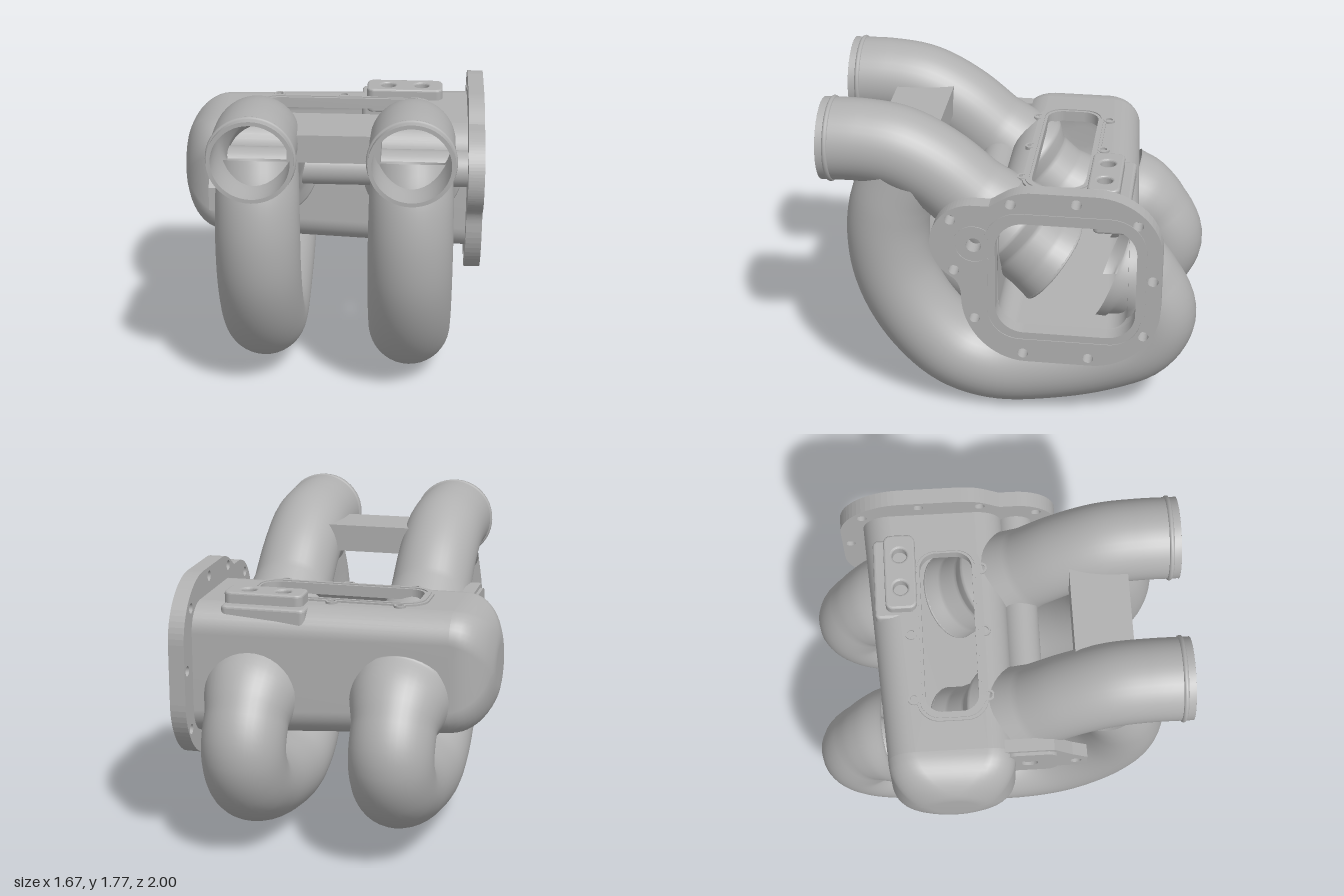
import * as THREE from 'three';

const metal = new THREE.MeshStandardMaterial({ color: 0xb0b0b0, side: THREE.DoubleSide });
metal.name = 'castGrey';

// Skin over a list of equally long point loops
function loft(sections, closed) {
  const n = sections[0].length, pos = [], idx = [];
  sections.forEach(s => s.forEach(p => pos.push(p.x, p.y, p.z)));
  for (let i = 0; i < sections.length - 1; i++) {
    for (let j = 0; j < (closed ? n : n - 1); j++) {
      const k = (j + 1) % n, a = i * n, b = a + n;
      idx.push(a + j, b + j, a + k, a + k, b + j, b + k);
    }
  }
  const g = new THREE.BufferGeometry();
  g.setAttribute('position', new THREE.Float32BufferAttribute(pos, 3));
  g.setIndex(idx);
  g.computeVertexNormals();
  return g;
}

// Round tube in the z-y plane; each path entry is [z, y, radius]
function pipe(path, cx, inset = 0, steps = 72, sides = 40) {
  const curve = new THREE.CatmullRomCurve3(path.map(p => new THREE.Vector3(0, p[1], p[0])), false, 'centripetal');
  const loops = [];
  for (let i = 0; i <= steps; i++) {
    const t = i / steps, c = curve.getPoint(t), d = curve.getTangent(t);
    const f = t * (path.length - 1), k = Math.min(Math.floor(f), path.length - 2);
    const r = THREE.MathUtils.lerp(path[k][2], path[k + 1][2], f - k) - inset;
    const loop = [];
    for (let j = 0; j < sides; j++) {
      const a = j / sides * Math.PI * 2, u = Math.cos(a) * r, v = Math.sin(a) * r;
      loop.push(new THREE.Vector3(cx + u, c.y + d.z * v, c.z - d.y * v));
    }
    loops.push(loop);
  }
  return loft(loops, true);
}

function roundRect(x0, y0, x1, y1, r, C = THREE.Shape) {
  const s = new C();
  s.moveTo(x0 + r, y0);
  s.lineTo(x1 - r, y0); s.absarc(x1 - r, y0 + r, r, -Math.PI / 2, 0);
  s.lineTo(x1, y1 - r); s.absarc(x1 - r, y1 - r, r, 0, Math.PI / 2);
  s.lineTo(x0 + r, y1); s.absarc(x0 + r, y1 - r, r, Math.PI / 2, Math.PI);
  s.lineTo(x0, y0 + r); s.absarc(x0 + r, y0 + r, r, Math.PI, Math.PI * 1.5);
  return s;
}
const hole = (x, y, r) => new THREE.Path().absarc(x, y, r, 0, Math.PI * 2);

function extrude(shape, depth, bevel = 0) {
  return new THREE.ExtrudeGeometry(shape, {
    depth: depth - bevel * 2, curveSegments: 16, bevelEnabled: bevel > 0,
    bevelSize: bevel, bevelOffset: -bevel, bevelThickness: bevel, bevelSegments: 3,
  }).translate(0, 0, bevel);
}
// Shape drawn in (-z, y), pushed along +x
const alongX = (shape, x, depth, bevel) => extrude(shape, depth, bevel).rotateY(Math.PI / 2).translate(x, 0, 0);
// Shape drawn in (x, -z), pushed along +y
const alongY = (shape, y, depth, bevel) => extrude(shape, depth, bevel).rotateX(-Math.PI / 2).translate(0, y, 0);

// Plenum limits along x
const X0 = -0.62, X1 = 0.75, TOP = 1.35, FRONT = 0.08;
const backZ = x => -0.6 - 0.09 * Math.max(0, (x - X0) / (X1 - X0));
const bottomY = x => 0.685 - 0.06 * Math.max(0, (x - X0) / (X1 - X0));

// Rounded section from the back end of the flat top, round below, to its front end
function section(x, inset, radius) {
  const z0 = backZ(x) + inset, z1 = FRONT - inset, y0 = bottomY(x) + inset, y1 = TOP - inset;
  const r = Math.min(radius, (z1 - z0) / 2, (y1 - y0) / 2), pts = [];
  [[z0 + r, y1 - r, 90], [z0 + r, y0 + r, 180], [z1 - r, y0 + r, 270], [z1 - r, y1 - r, 360]].forEach(([z, y, a0]) => {
    for (let i = 0; i <= 8; i++) {
      const a = (a0 + i * 90 / 8) * Math.PI / 180;
      pts.push(new THREE.Vector3(x, y + r * Math.sin(a), z + r * Math.cos(a)));
    }
  });
  return pts;
}

export function createModel() {
  const model = new THREE.Group();
  const add = (name, geometry, parent = model) => {
    const m = new THREE.Mesh(geometry, metal);
    m.name = name;
    parent.add(m);
    return m;
  };

  // Plenum: outer and inner skins, domed at the closed end
  const plenum = new THREE.Group();
  plenum.name = 'plenum';
  model.add(plenum);
  [['outer', 0], ['inner', 0.045]].forEach(([side, t]) => {
    add(side + 'PlenumWall', loft([section(X0, t, 0.15 - t), section(X1, t, 0.15 - t)], false), plenum);
    const dome = [];
    for (let i = 0; i <= 12; i++) {
      const a = i / 12 * Math.PI / 2;
      dome.push(section(X0 - (0.22 - t) * Math.sin(a), t + 0.22 * (1 - Math.cos(a)), 0.15 - t + 0.05 * i / 12));
    }
    const c = new THREE.Vector3(X0 - 0.22 + t, 1.017, -0.26);
    dome.push(dome[12].map(() => c));
    add(side + 'PlenumDome', loft(dome, true), plenum);
  });

  // Flat top with its window, and the raised rim with screw holes
  const topShape = new THREE.Shape([[X0, 0.07], [X1, 0.07], [X1, -backZ(X1) - 0.15], [X0, -backZ(X0) - 0.15]]
    .map(p => new THREE.Vector2(...p)));
  topShape.holes.push(roundRect(-0.41, 0.1, 0.5, 0.385, 0.09, THREE.Path));
  add('plenumTop', alongY(topShape, TOP - 0.045, 0.045), plenum);
  const rim = roundRect(-0.46, 0.05, 0.54, 0.43, 0.12);
  rim.holes.push(roundRect(-0.41, 0.1, 0.5, 0.385, 0.09, THREE.Path));
  add('windowRim', alongY(rim, 1.3, 0.06), plenum);
  const lip = roundRect(-0.445, 0.065, 0.525, 0.415, 0.11);
  lip.holes.push(roundRect(-0.425, 0.085, 0.51, 0.4, 0.1, THREE.Path));
  add('windowLip', alongY(lip, 1.36, 0.006), plenum);
  for (const x of [-0.33, 0.04, 0.4]) for (const v of [0.05, 0.445]) {
    const boss = new THREE.Shape().absarc(x, v, 0.032, 0, Math.PI * 2);
    boss.holes.push(hole(x, v, 0.02));
    add('screwBoss', alongY(boss, 1.3, 0.062), plenum);
  }

  // Sensor pad on the rear top edge
  const pad = roundRect(0.17, 0.405, 0.6, 0.575, 0.04);
  for (const x of [0.29, 0.48]) pad.holes.push(hole(x, 0.49, 0.04));
  add('sensorPad', alongY(pad, 1.27, 0.14, 0.012));
  add('sensorPadBase', alongY(roundRect(0.14, 0.44, 0.6, 0.635, 0.03), 1.15, 0.2, 0.015));

  // Runners: a short horn into the plenum and a long loop round to its back
  const horn = [[1, 1.54, 0.218], [0.78, 1.54, 0.218], [0.6, 1.51, 0.22], [0.4, 1.405, 0.22], [0.22, 1.255, 0.222],
    [0.1, 1.155, 0.245], [0.02, 1.085, 0.275], [-0.04, 1.03, 0.225], [-0.14, 0.94, 0.225], [-0.22, 0.88, 0.245]];
  const loop = [[0.58, 1.38, 0.21], [0.65, 1.2, 0.22], [0.675, 1, 0.223], [0.64, 0.75, 0.224], [0.51, 0.49, 0.225],
    [0.32, 0.3, 0.225], [0.1, 0.228, 0.225], [-0.2, 0.255, 0.225], [-0.5, 0.335, 0.225], [-0.7, 0.44, 0.225],
    [-0.775, 0.6, 0.225], [-0.71, 0.76, 0.225], [-0.62, 0.84, 0.26], [-0.54, 0.87, 0.28]];
  [[-0.36, 0.04], [0.44, 0]].forEach(([x, lift]) => {
    const runner = new THREE.Group();
    runner.name = 'runner';
    model.add(runner);
    add('shortRunner', pipe(horn, x), runner);
    add('shortRunnerBore', pipe(horn, x, 0.018), runner);
    add('longRunner', pipe(loop.map(([z, y, r]) => [z, y + lift * THREE.MathUtils.clamp((1 - y) / 0.76, 0, 1), r]), x), runner);
    // Mouth face, hose bead and inner bell lip
    add('mouthFace', new THREE.RingGeometry(0.198, 0.219, 48).translate(x, 1.54, 1), runner);
    add('hoseBead', new THREE.TorusGeometry(0.214, 0.014, 10, 48).translate(x, 1.54, 0.95), runner);
    const bell = add('bellLip', new THREE.TorusGeometry(0.236, 0.01, 8, 48), runner);
    bell.position.set(x, 0.88, -0.22);
    bell.rotation.x = -Math.atan2(0.6, 0.8);
  });

  // Web joining the two horns
  add('runnerWeb', new THREE.BoxGeometry(0.48, 0.15, 0.31).translate(0.04, 1.505, 0.565));

  // Shaft housing along the front, ending in a bearing plate
  add('shaftHousing', new THREE.CylinderGeometry(0.1, 0.1, 1.34, 36, 1, true).rotateZ(Math.PI / 2).translate(0.08, 1.17, 0.15));
  const plate = new THREE.Shape([[0, 1.32], [0, 1.03], [-0.46, 1.03], [-0.46, 1.16], [-0.38, 1.22], [-0.28, 1.32]]
    .map(p => new THREE.Vector2(...p)));
  plate.holes.push(hole(-0.4, 1.11, 0.03));
  add('bearingPlate', alongX(plate, -0.64, 0.07));
  const cover = roundRect(-0.3, 1.04, -0.02, 1.3, 0.06);
  cover.holes.push(hole(-0.15, 1.17, 0.045));
  add('bearingCover', alongX(cover, -0.658, 0.03));

  // Throttle flange with main port, shaft hole and bolt holes
  const f = new THREE.Shape();
  f.moveTo(0.12, 0.48);
  f.lineTo(0.46, 0.48);
  f.bezierCurveTo(0.66, 0.48, 0.82, 0.66, 0.82, 0.84);
  f.lineTo(0.82, 1.17);
  f.bezierCurveTo(0.82, 1.34, 0.66, 1.49, 0.47, 1.49);
  f.lineTo(0.16, 1.49);
  f.bezierCurveTo(0.04, 1.49, 0, 1.44, -0.07, 1.4);
  f.lineTo(-0.15, 1.4);
  f.absarc(-0.15, 1.17, 0.23, Math.PI / 2, Math.PI * 1.32);
  f.quadraticCurveTo(-0.22, 0.94, -0.22, 0.86);
  f.bezierCurveTo(-0.22, 0.65, -0.06, 0.48, 0.12, 0.48);
  const port = () => roundRect(-0.04, 0.66, 0.69, 1.31, 0.15, THREE.Path);
  f.holes.push(port(), hole(-0.15, 1.17, 0.04));
  [[-0.04, 1.42], [-0.375, 1.44], [-0.69, 1.34], [-0.775, 1.02], [-0.735, 0.685], [-0.45, 0.525],
    [-0.105, 0.53], [0.15, 0.73], [0.255, 1.015], [0.27, 1.31]].forEach(([z, y]) => f.holes.push(hole(-z, y, 0.028)));
  add('throttleFlange', alongX(f, 0.74, 0.087));

  // Sealing ridges around the port and the shaft hole
  const seal = roundRect(-0.1, 0.6, 0.74, 1.37, 0.19);
  seal.holes.push(roundRect(-0.08, 0.62, 0.72, 1.35, 0.17, THREE.Path));
  add('portSeal', alongX(seal, 0.824, 0.008));
  const ring = new THREE.Shape().absarc(-0.15, 1.17, 0.11, Math.PI * 0.25, Math.PI * 1.75);
  ring.absarc(-0.15, 1.17, 0.095, Math.PI * 1.75, Math.PI * 0.25, true);
  add('shaftSeal', alongX(ring, 0.824, 0.008));

  return model;
}
